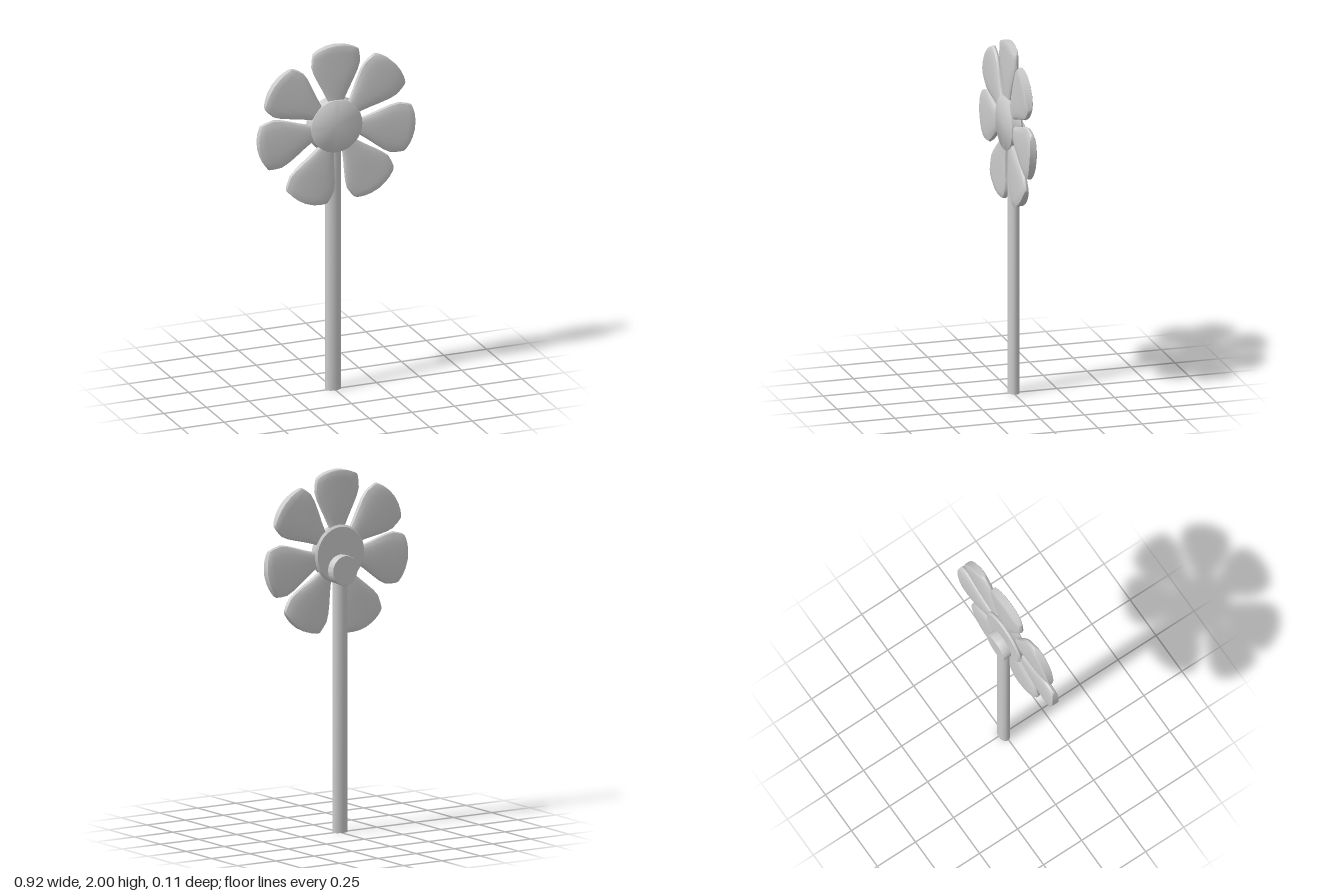
import * as THREE from 'three';
import { toCreasedNormals } from 'three/addons/utils/BufferGeometryUtils.js';

const material = new THREE.MeshStandardMaterial({ color: 0xcccccc, roughness: 0.8 });
const HEAD_Y = 1.537;

function part(name, geometry, crease = 0.7) {
  const mesh = new THREE.Mesh(toCreasedNormals(geometry, crease), material);
  mesh.name = name;
  return mesh;
}

// Petal along +y: rounded cross-sections [distance, half width, half thickness, tip curve]
function petalGeometry() {
  const stations = [
    [0.08, 0.03, 0, 0], [0.08, 0.03, 0.014, 0], [0.15, 0.05, 0.019, 0],
    [0.2, 0.074, 0.022, 0], [0.26, 0.106, 0.024, 0], [0.31, 0.13, 0.024, 0.002],
    [0.365, 0.144, 0.024, 0.015], [0.42, 0.141, 0.024, 0.028],
    [0.455, 0.136, 0.023, 0.036], [0.463, 0.132, 0.02, 0.037], [0.463, 0.132, 0, 0.037],
  ];
  const sides = 20;
  const soften = (v, p) => Math.sign(v) * Math.pow(Math.abs(v), p);
  const positions = [];
  const index = [];
  stations.forEach(([r, w, t, drop], i) => {
    for (let j = 0; j < sides; j++) {
      const a = (j / sides) * Math.PI * 2;
      const u = soften(Math.cos(a), 0.85);
      positions.push(u * w, r - drop * u * u, 0.027 + soften(Math.sin(a), 0.6) * t);
      if (i === stations.length - 1) continue;
      const p = i * sides + j;
      const q = i * sides + ((j + 1) % sides);
      index.push(p, p + sides, q, q, p + sides, q + sides);
    }
  });
  const g = new THREE.BufferGeometry();
  g.setAttribute('position', new THREE.Float32BufferAttribute(positions, 3));
  g.setIndex(index);
  return g;
}

// Round part whose axis runs front to back; profile is [radius, z] from back to front
function disc(profile, segments) {
  return new THREE.LatheGeometry(profile.map(([r, z]) => new THREE.Vector2(r, z)), segments)
    .rotateX(Math.PI / 2);
}

export function createModel() {
  const model = new THREE.Group();
  model.name = 'flower';

  // Slightly uneven ring of seven petals, angles clockwise from the top
  const petals = new THREE.Group();
  petals.name = 'petals';
  petals.position.y = HEAD_Y;
  const petal = petalGeometry();
  [0, 48, 100, 148, 204, 260, 307].forEach((angle, i) => {
    const mesh = part('petal' + (i + 1), petal);
    mesh.rotation.z = -THREE.MathUtils.degToRad(angle);
    mesh.position.z = i === 0 ? -0.004 : 0.001;
    petals.add(mesh);
  });
  model.add(petals);

  // Flower centre with a bevelled back
  const centre = part('flowerCentre', disc(
    [[0, -0.011], [0.15, -0.011], [0.161, 0], [0.152, 0.012], [0.15, 0.05], [0.145, 0.054], [0, 0.054]], 32));
  centre.position.set(-0.004, HEAD_Y, 0);
  model.add(centre);

  // Knob joining the head to the stem at the back
  const knob = part('backKnob', disc(
    [[0, -0.058], [0.08, -0.058], [0.083, -0.054], [0.083, 0], [0, 0]], 20));
  knob.position.set(-0.004, 1.453, 0);
  model.add(knob);

  // Slightly flattened stem
  const stem = part('stem', new THREE.CylinderGeometry(0.044, 0.044, 1.42, 20));
  stem.position.set(-0.004, 0.71, -0.004);
  stem.scale.z = 0.72;
  model.add(stem);

  return model;
}
